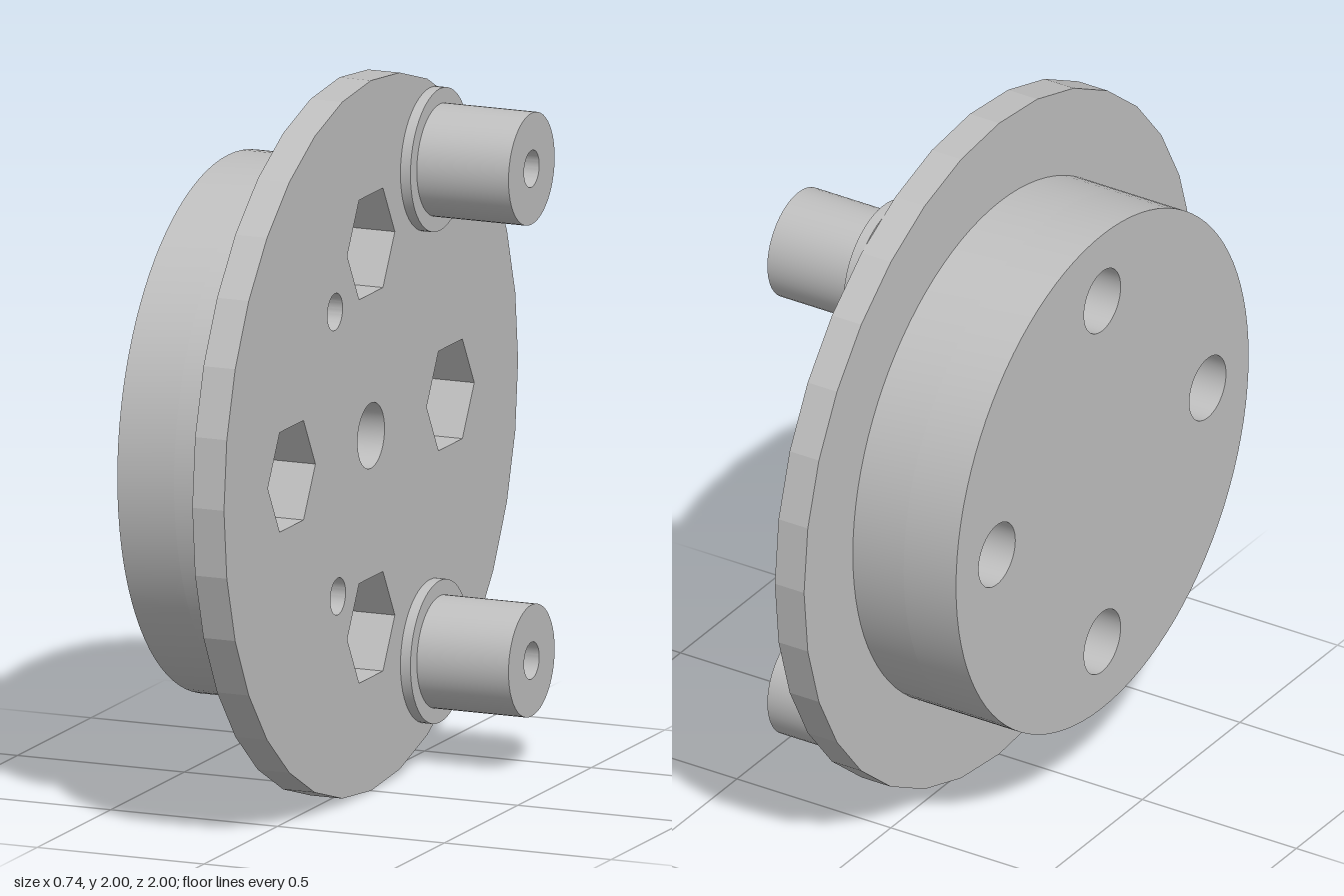
import * as THREE from 'three';
import { toCreasedNormals } from 'three/addons/utils/BufferGeometryUtils.js';

// Regular polygon outline; u runs along -z, v along y
function ring(PathType, u, v, radius, sides) {
  const points = [];
  for (let i = 0; i < sides; i++) {
    const a = (i / sides) * Math.PI * 2;
    points.push(new THREE.Vector2(u + radius * Math.cos(a), v + radius * Math.sin(a)));
  }
  return new PathType(points);
}

export function createModel() {
  const group = new THREE.Group();
  const grey = new THREE.MeshStandardMaterial({ color: 0xbfbfbf });
  grey.name = 'plain grey';

  // Plate between x0 and x1, pierced by holes given as [u, v, radius, sides]
  function plate(name, x0, x1, [u, v, radius, sides], holes) {
    const shape = ring(THREE.Shape, u, v, radius, sides);
    for (const h of holes) shape.holes.push(ring(THREE.Path, ...h));
    let geometry = new THREE.ExtrudeGeometry(shape, { depth: x1 - x0, bevelEnabled: false });
    geometry = toCreasedNormals(geometry, 0.16);
    geometry.rotateY(Math.PI / 2);
    geometry.translate(x0, 0, 0);
    const mesh = new THREE.Mesh(geometry, grey);
    mesh.name = name;
    group.add(mesh);
  }

  // Four bolt positions around the axis
  const bolts = [[0.54, 1], [0, 1.54], [-0.54, 1], [0, 0.46]];
  const hexSockets = bolts.map(([u, v]) => [u, v, 0.162, 6]);
  const boltHoles = bolts.map(([u, v]) => [u, v, 0.094, 48]);
  const centreHole = [0, 1, 0.092, 48];
  const dowelHoles = [[-0.245, 1.4, 0.052, 48], [-0.225, 0.595, 0.052, 48]];

  // Flange disc, then the hub with sockets narrowing to bolt holes
  plate('flangeDisc', -0.035, 0.06, [0, 1, 1, 32], [...hexSockets, centreHole, ...dowelHoles]);
  plate('hubSocketLayer', -0.2, -0.035, [0, 1, 0.75, 96], [...hexSockets, centreHole]);
  plate('hubBoltLayer', -0.37, -0.2, [0, 1, 0.75, 96], boltHoles);

  // Two hollow pins standing on collars
  for (const [side, y] of [['upper', 1.695], ['lower', 0.31]]) {
    const bore = [0.4, y, 0.052, 48];
    plate(side + 'Collar', 0.06, 0.09, [0.4, y, 0.2, 48], [bore]);
    plate(side + 'Pin', 0.09, 0.365, [0.4, y, 0.157, 48], [bore]);
  }

  return group;
}
